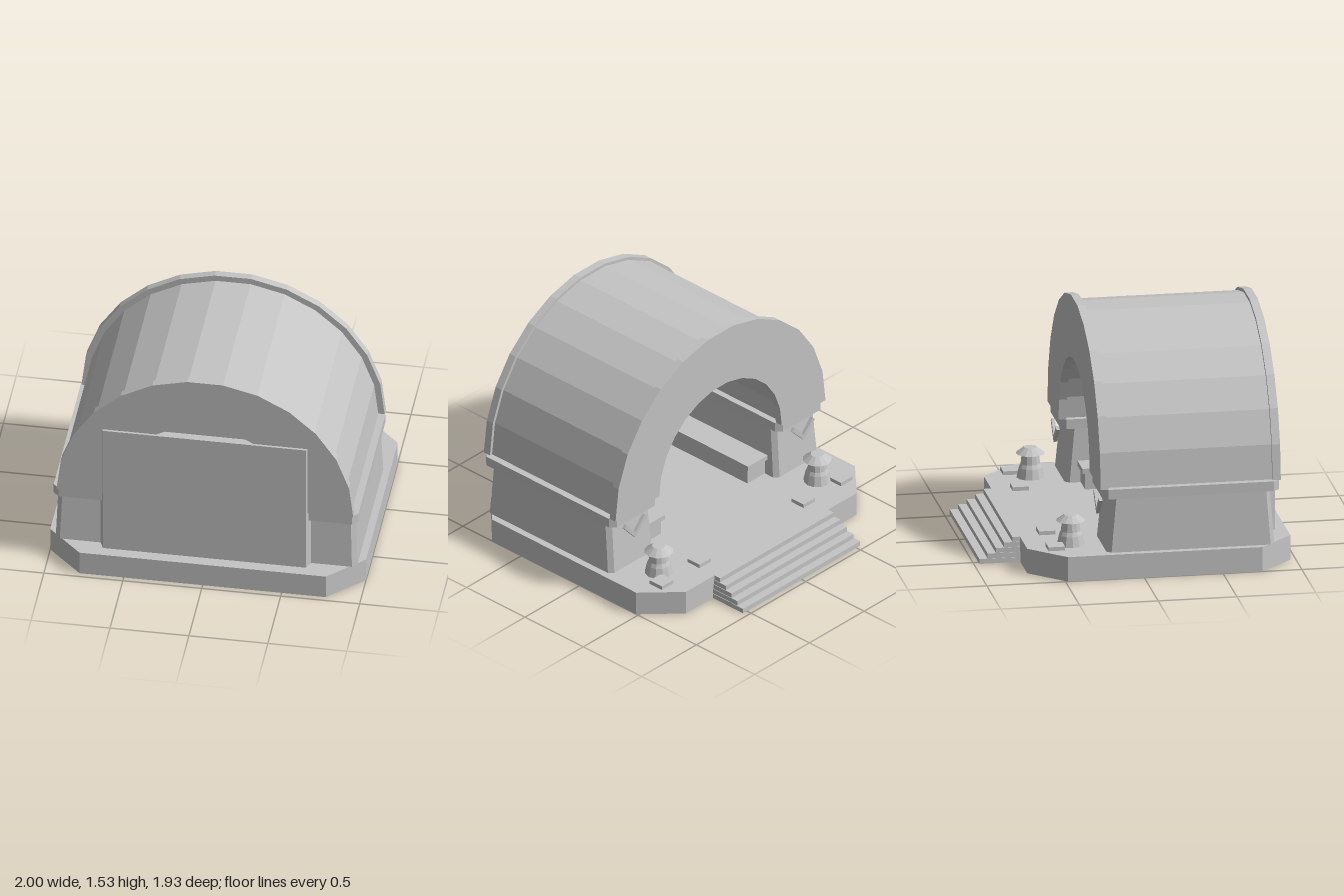
import * as THREE from 'three';

export function createModel() {
  const model = new THREE.Group();
  const stone = new THREE.MeshStandardMaterial({ color: 0xc4c4c4 });
  stone.name = 'plain grey';
  stone.flatShading = true;

  const add = (name, geometry, parent = model) => {
    const mesh = new THREE.Mesh(geometry, stone);
    mesh.name = name;
    parent.add(mesh);
    return mesh;
  };
  // box given by its limits on each axis
  const box = (name, x0, x1, y0, y1, z0, z1, parent) =>
    add(name, new THREE.BoxGeometry(x1 - x0, y1 - y0, z1 - z0)
      .translate((x0 + x1) / 2, (y0 + y1) / 2, (z0 + z1) / 2), parent);
  // upright prism over a plan outline of [x, z] points
  const prism = (points, y0, y1) => {
    const shape = new THREE.Shape(points.map(([x, z]) => new THREE.Vector2(x, -z)));
    return new THREE.ExtrudeGeometry(shape, { depth: y1 - y0, bevelEnabled: false })
      .rotateX(-Math.PI / 2).translate(0, y0, 0);
  };
  // outline in x and y, extruded from z0 to z1
  const slab = (points, z0, z1) =>
    new THREE.ExtrudeGeometry(new THREE.Shape(points), { depth: z1 - z0, bevelEnabled: false })
      .translate(0, 0, z0);

  const SPRING = 0.575; // height where the vault starts
  const arc = (r, rise = r) => Array.from({ length: 14 }, (_, i) => {
    const a = (i / 13) * Math.PI;
    return new THREE.Vector2(r * Math.cos(a), SPRING + rise * Math.sin(a));
  });
  const vault = (name, outer, inner, z0, z1) =>
    add(name, slab([...arc(outer), ...arc(inner).reverse()], z0, z1));

  // platform with cut corners
  add('platform', prism([
    [-0.78, 0.965], [0.78, 0.965], [1, 0.75], [1, -0.485],
    [0.78, -0.705], [-0.78, -0.705], [-1, -0.485], [-1, 0.75],
  ], 0, 0.16));

  // entrance steps, open underneath: the bottom and inner faces are left out
  for (let i = 0; i < 5; i++) {
    const w = 0.535 - i * 0.004;
    const { geometry } = box('step', -w, w, 0.032 * i, 0.032 * (i + 1), -0.965 + i * 0.053, -0.705);
    const index = Array.from(geometry.index.array);
    geometry.setIndex([...index.slice(0, 18), ...index.slice(30)]);
  }

  // barrel roof and its two end rings
  vault('roof', 0.92, 0.59, -0.23, 0.84);
  vault('backRing', 0.96, 0.56, -0.27, -0.22);
  vault('frontRing', 0.94, 0.59, 0.825, 0.877);

  // broad front panel with slanted side edges
  const panel = new THREE.BoxGeometry(1.332, 0.915, 0.053).translate(0, 0.6175, 0.8665);
  const pp = panel.attributes.position;
  for (let i = 0; i < pp.count; i++) {
    if (pp.getZ(i) > 0.87) pp.setX(i, Math.sign(pp.getX(i)) * 0.643);
  }
  panel.computeVertexNormals();
  add('frontPanel', panel);

  // inner end wall with an arched surround
  box('endWall', -0.585, 0.585, 0.16, 1.06, 0.54, 0.57);
  add('doorSurround', slab([
    new THREE.Vector2(0.42, 0.16), ...arc(0.42, 0.22), new THREE.Vector2(-0.42, 0.16),
  ], 0.53, 0.545));

  for (const s of [1, -1]) {
    const side = new THREE.Group();
    side.name = s > 0 ? 'leftSide' : 'rightSide';
    model.add(side);
    const mx = (pts) => pts.map(([x, z]) => [x * s, z]);
    const span = (name, x0, x1, ...rest) =>
      box(name, Math.min(x0 * s, x1 * s), Math.max(x0 * s, x1 * s), ...rest, side);

    // side wall, leaning inwards towards the top
    const wall = prism(mx([
      [0.555, -0.2], [0.585, -0.228], [0.925, -0.228], [0.955, -0.2],
      [0.955, 0.81], [0.925, 0.838], [0.585, 0.838], [0.555, 0.81],
    ]), 0.16, 0.515);
    const p = wall.attributes.position;
    for (let i = 0; i < p.count; i++) {
      if (p.getY(i) < 0.4) continue;
      p.setX(i, p.getX(i) + s * (Math.abs(p.getX(i)) > 0.75 ? -0.012 : 0.012));
      p.setZ(i, p.getZ(i) + (p.getZ(i) < 0.3 ? 0.033 : -0.027));
    }
    wall.computeVertexNormals();
    add('sideWall', wall, side);

    // ledge under the vault
    add('ledge', prism(mx([
      [0.55, -0.22], [0.585, -0.255], [0.93, -0.255], [0.965, -0.22],
      [0.965, 0.83], [0.93, 0.868], [0.585, 0.868], [0.55, 0.83],
    ]), 0.512, SPRING), side);

    // bench along the wall
    span('benchBase', 0.395, 0.575, 0.16, 0.268, -0.13, 0.53);
    span('benchTop', 0.38, 0.575, 0.268, 0.3, -0.15, 0.54);

    // pair of doors with handles
    span('door', 0.235, 0.325, 0.16, 0.47, 0.515, 0.532);
    span('door', 0.105, 0.195, 0.16, 0.47, 0.515, 0.532);
    span('doorHandle', 0.243, 0.257, 0.3, 0.345, 0.5, 0.516);
    span('doorHandle', 0.173, 0.187, 0.3, 0.345, 0.5, 0.516);

    // V-shaped ornament in front of the pier
    add('ornament', slab([
      [0.77, 0.365], [0.87, 0.475], [0.85, 0.495], [0.77, 0.405],
      [0.685, 0.495], [0.665, 0.475],
    ].map(([x, y]) => new THREE.Vector2(x * s, y)), -0.265, -0.243), side);

    // lantern
    const profile = [
      [0, 0.16], [0.088, 0.16], [0.074, 0.225], [0.062, 0.25], [0.055, 0.315],
      [0.092, 0.316], [0.042, 0.355], [0, 0.355],
    ].map(([r, y]) => new THREE.Vector2(r, y));
    add('lantern', new THREE.LatheGeometry(profile, 12), side).position.set(0.725 * s, 0, -0.42);

    // low pads beside the steps
    span('outerPad', 0.765, 0.872, 0.165, 0.19, -0.585, -0.48);
    span('innerPad', 0.423, 0.528, 0.165, 0.19, -0.585, -0.48);
  }
  return model;
}
